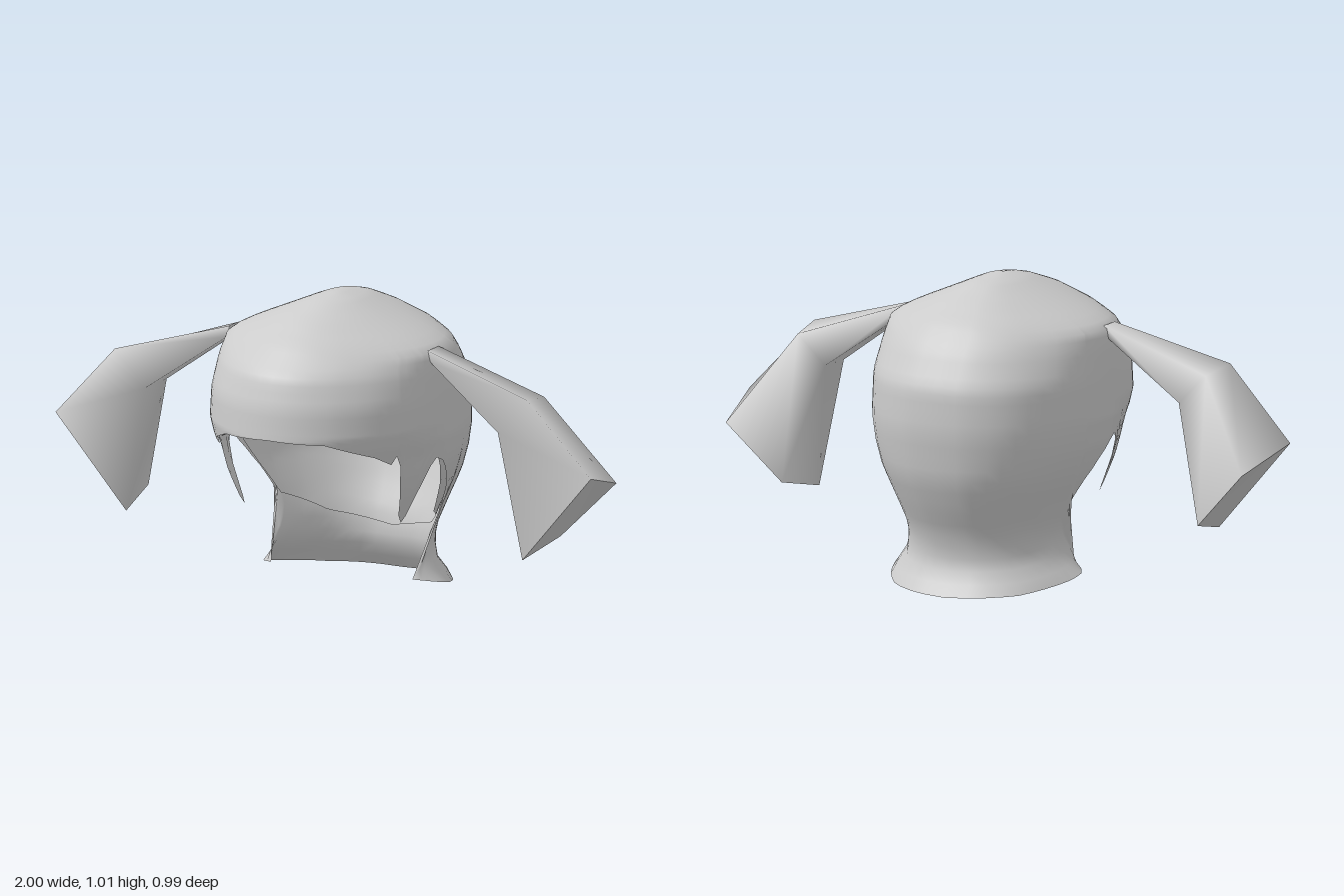
import * as THREE from 'three';

// Piecewise linear lookup in [key, value] pairs with rising keys
function lookup(table, k) {
  if (k <= table[0][0]) return table[0][1];
  for (let i = 1; i < table.length; i++) {
    const [k0, v0] = table[i - 1], [k1, v1] = table[i];
    if (k <= k1) return v0 + (v1 - v0) * (k - k0) / (k1 - k0);
  }
  return table[table.length - 1][1];
}

// Shell radius by height, towards the front, the side and the back
const FRONT = [[0.2, 0.42], [0.3, 0.45], [0.42, 0.47], [0.61, 0.495], [0.71, 0.485], [0.81, 0.455],
  [0.9, 0.35], [0.955, 0.25], [0.995, 0.13], [1.007, 0.07], [1.015, 0]];
const SIDE = [[0, 0.36], [0.05, 0.345], [0.1, 0.3], [0.16, 0.28], [0.22, 0.288], [0.3, 0.32], [0.4, 0.365],
  [0.48, 0.39], [0.57, 0.402], [0.7, 0.398], [0.8, 0.392], [0.865, 0.38], [0.905, 0.3],
  [0.947, 0.2], [0.983, 0.115], [1.002, 0.07], [1.015, 0]];
const BACK = [[0, 0.42], [0.04, 0.39], [0.1, 0.358], [0.2, 0.38], [0.3, 0.43], [0.4, 0.47], [0.56, 0.492],
  [0.7, 0.485], [0.82, 0.42], [0.895, 0.35], [0.955, 0.25], [1.0, 0.14], [1.009, 0.07], [1.015, 0]];

// Height of the lower rim by angle: fringe, pointed side lock, ear notch, nape
const RIM = [[0, 0.61], [28, 0.6], [41, 0.57], [52, 0.545], [61.5, 0.51], [63, 0.54], [66, 0.5],
  [68, 0.42], [72, 0.32], [75, 0.29], [76.5, 0.31], [79, 0.41], [82, 0.48], [85, 0.505], [89, 0.49], [95, 0.435],
  [101, 0.37], [107, 0.28], [108, 0.07], [125, 0.04], [150, 0.012], [180, 0]];
const LINING_RIM = [[0, 0.61], [28, 0.6], [52, 0.55], [66, 0.53], [89, 0.5], [107, 0.28], [140, 0.2], [180, 0.155]];
const ANGLES = [0, 7, 14, 21, 28, 34, 41, 47, 52, 57, 61.5, 63, 66, 68, 70, 72, 75, 76.5, 79, 82, 85, 89, 92, 95,
  98, 101, 104, 107, 108, 110, 113, 117, 121, 125, 131, 138, 144, 150, 157, 165, 172, 180];

function shellPoint(deg, y) {
  const clamp = THREE.MathUtils.clamp;
  let t = THREE.MathUtils.degToRad(Math.abs(deg)), width = 1;
  const diagonal = Math.sin(2 * t);
  // hollows between the crown ridges that run to the pigtails
  const hollow = 1 - 0.065 * diagonal ** 2 * clamp(1 - Math.abs(y - 0.87) / 0.15, 0, 1);
  if (t > Math.PI / 2) {
    // the nape sweeps forward towards its lower edge and its tips curl inward
    const sweep = clamp((0.25 - y) / 0.18, 0, 1) ** 1.4;
    t = Math.PI - (Math.PI - t) * (1 + 0.222 * sweep);
    width = 1 - 0.26 * sweep * clamp(1 + Math.cos(t) / 0.25, 0, 1) ** 2;
  } else {
    // the fringe narrows towards its corners
    width = 1 - 0.09 * diagonal * clamp((0.62 - y) / 0.11, 0, 1);
  }
  const c = Math.cos(t), s = Math.max(0, Math.sin(t));
  const x = lookup(SIDE, y) * width * (c < 0 ? s ** 0.85 : s);
  return [Math.sign(deg) * x * hollow, y, c * lookup(c < 0 ? BACK : FRONT, y) * hollow];
}

// Open shell lofted from the crown down to a rim; gap moves it inward
function shellGeometry(rimTable, gap) {
  const columns = [...ANGLES.slice(1, -1).reverse().map(a => -a), ...ANGLES];
  const upper = 20, lower = 16, rows = upper + lower, n = columns.length, top = 1.015, split = 0.63;
  const pos = [], index = [];
  const put = ([x, y, z]) => pos.push(x * (1 - 2 * gap), y - 2.5 * gap * Math.max(0, y - 0.61), z * (1 - 2 * gap));
  put([0, top, 0]);
  for (const deg of columns) {
    const rim = lookup(rimTable, Math.abs(deg));
    for (let i = 1; i <= upper; i++) put(shellPoint(deg, top - (top - split) * (i / upper) ** 1.5));
    for (let i = 1; i <= lower; i++) put(shellPoint(deg, split - (split - rim) * i / lower));
  }
  for (let j = 0; j < n; j++) {
    const a = 1 + j * rows, b = 1 + ((j + 1) % n) * rows;
    index.push(0, a, b);
    for (let i = 0; i < rows - 1; i++) {
      index.push(a + i, a + i + 1, b + i + 1, a + i, b + i + 1, b + i);
    }
  }
  return build(pos, index);
}

function build(pos, index) {
  const g = new THREE.BufferGeometry();
  g.setAttribute('position', new THREE.Float32BufferAttribute(pos, 3));
  g.setIndex(index);
  g.computeVertexNormals();
  return g;
}

// Four-cornered sections of a pigtail: upper front, upper back, lower back, lower front
const TAIL = [
  [[0.37, 0.868, 0.075], [0.37, 0.868, 0], [0.38, 0.83, 0], [0.38, 0.83, 0.075]],
  [[0.77, 0.757, 0.127], [0.755, 0.738, -0.016], [0.655, 0.64, -0.015], [0.66, 0.635, 0.125]],
  [[1, 0.515, 0.112], [0.955, 0.445, -0.142], [0.77, 0.255, -0.1], [0.74, 0.212, 0.105]],
];

function pigtailGeometry(side) {
  // the last section is repeated so the blunt end keeps a sharp edge
  const pos = [...TAIL, TAIL[2]].flat().flatMap(([x, y, z]) => [x * side, y, z]), index = [];
  const quad = (a, b, c, d) => index.push(...(side > 0 ? [a, b, c, a, c, d] : [a, c, b, a, d, c]));
  for (let s = 0; s < 2; s++) {
    for (let k = 0; k < 4; k++) {
      const m = (k + 1) % 4;
      quad(s * 4 + k, s * 4 + 4 + k, s * 4 + 4 + m, s * 4 + m);
    }
  }
  quad(12, 15, 14, 13);
  return build(pos, index);
}

export function createModel() {
  const group = new THREE.Group();
  group.name = 'pigtailHair';
  const material = new THREE.MeshStandardMaterial({ color: 0xcccccc, side: THREE.DoubleSide });
  const add = (name, geometry) => {
    const mesh = new THREE.Mesh(geometry, material);
    mesh.name = name;
    group.add(mesh);
  };
  add('hairCap', shellGeometry(RIM, 0));
  add('innerLining', shellGeometry(LINING_RIM, 0.025));
  add('leftPigtail', pigtailGeometry(1));
  add('rightPigtail', pigtailGeometry(-1));
  return group;
}
